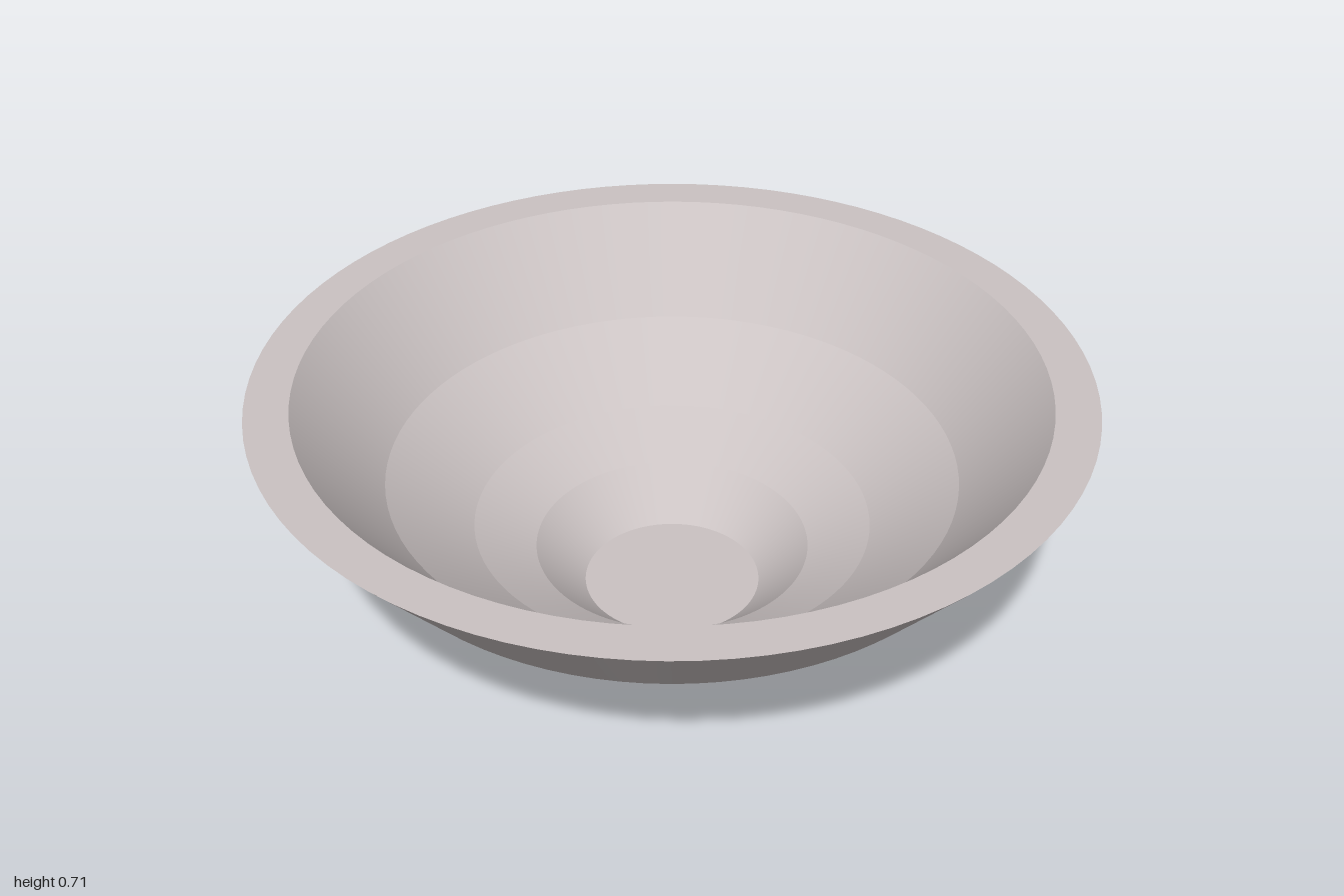
import * as THREE from 'three';
import { mergeGeometries } from 'three/addons/utils/BufferGeometryUtils.js';

const SEGMENTS = 96;

// Lathe with a sharp edge at every profile point, smooth around the axis
function creasedLathe(profile) {
  const bands = [];
  for (let i = 0; i < profile.length - 1; i++) {
    const pair = [profile[i], profile[i + 1]].map(([r, y]) => new THREE.Vector2(r, y));
    bands.push(new THREE.LatheGeometry(pair, SEGMENTS));
  }
  return mergeGeometries(bands);
}

export function createModel() {
  const model = new THREE.Group();
  model.name = 'footedBowl';

  const clay = new THREE.MeshStandardMaterial({ name: 'pale clay', color: 0xcbc3c3 });
  const blue = new THREE.MeshStandardMaterial({ name: 'blue glaze', color: 0x6e67c6 });

  function add(name, geometry, material, parent = model) {
    const mesh = new THREE.Mesh(geometry, material);
    mesh.name = name;
    parent.add(mesh);
    return mesh;
  }

  // Bowl: underside, foot wall, flared outside, flat rim, stepped inside, floor
  add('bowl', creasedLathe([
    [0, 0.05], [0.28, 0.05], [0.28, 0.12],
    [0.6, 0.31], [0.8, 0.47], [1, 0.71],
    [0.895, 0.71], [0.695, 0.465], [0.49, 0.31], [0.34, 0.23],
    [0.22, 0.115], [0, 0.115],
  ]), clay);

  // Hollow foot ring
  add('footRing', creasedLathe([
    [0.264, 0.05], [0.264, 0], [0.281, 0], [0.281, 0.05], [0.264, 0.05],
  ]), blue);

  // Thin upright stripes around the foot wall
  const stripes = new THREE.Group();
  stripes.name = 'footStripes';
  model.add(stripes);
  const stripeShape = new THREE.BoxGeometry(0.011, 0.07, 0.006);
  const count = 48;
  for (let i = 0; i < count; i++) {
    const angle = ((i + 0.5) / count) * Math.PI * 2;
    const stripe = add('footStripe', stripeShape, blue, stripes);
    stripe.position.set(Math.sin(angle) * 0.2785, 0.085, Math.cos(angle) * 0.2785);
    stripe.rotation.y = angle;
  }

  return model;
}
